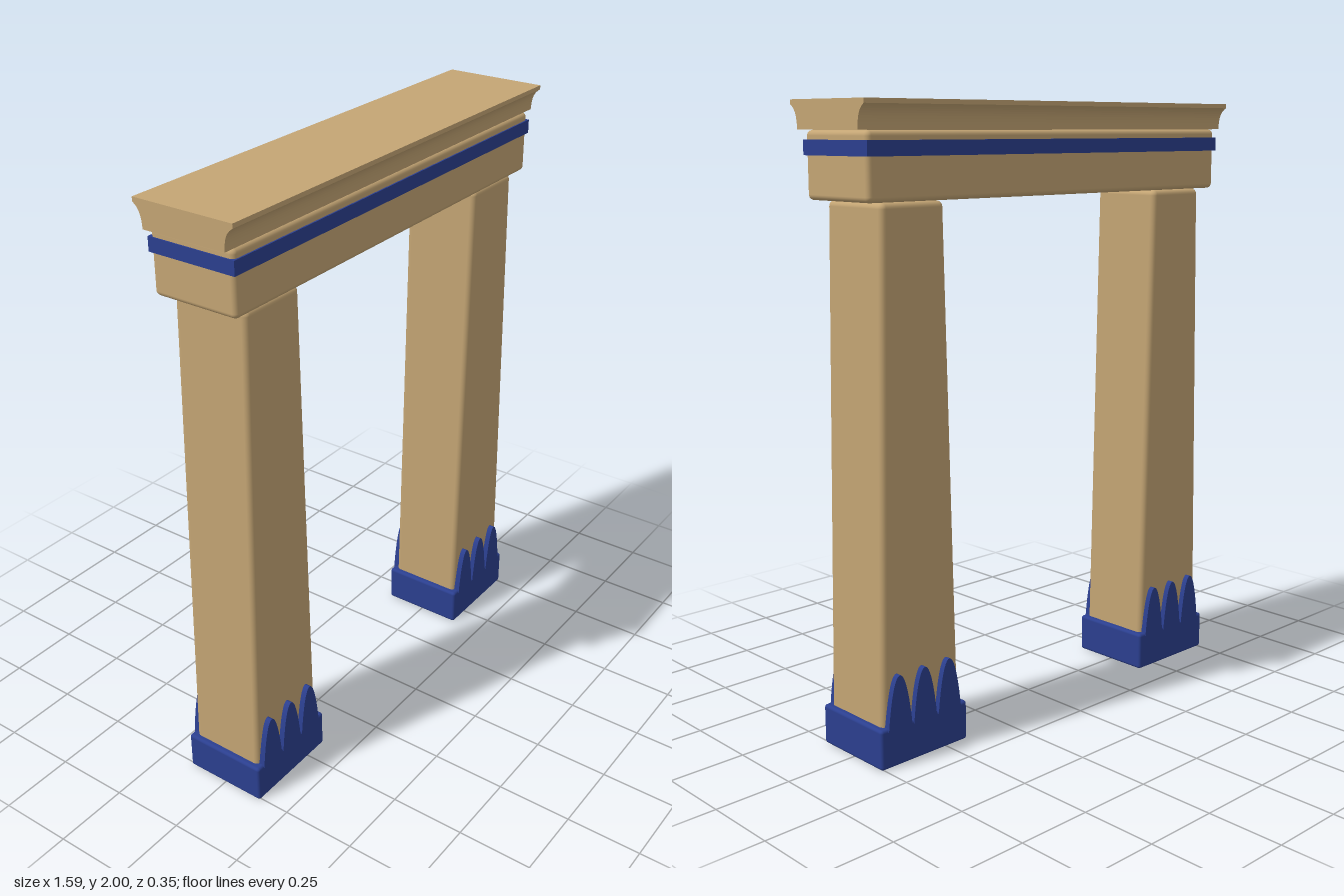
import * as THREE from 'three';
import { RoundedBoxGeometry } from 'three/addons/geometries/RoundedBoxGeometry.js';

export function createModel() {
  const group = new THREE.Group();
  group.name = 'gateway';
  const stone = new THREE.MeshStandardMaterial({ color: 0xc4a574 });
  stone.name = 'sandstone';
  const blue = new THREE.MeshStandardMaterial({ color: 0x2b3f8f });
  blue.name = 'lapis blue';

  function add(parent, name, geometry, material, x = 0, y = 0, z = 0) {
    const mesh = new THREE.Mesh(geometry, material);
    mesh.name = name;
    mesh.position.set(x, y, z);
    parent.add(mesh);
    return mesh;
  }

  // Tapered pillar shaft: a rounded box narrowed in x towards the top
  const y0 = 0.01, y1 = 1.71;
  const shaft = new RoundedBoxGeometry(1, y1 - y0, 0.26, 3, 0.018);
  const pos = shaft.attributes.position;
  for (let i = 0; i < pos.count; i++) {
    const t = pos.getY(i) / (y1 - y0) + 0.5;
    const half = THREE.MathUtils.lerp(0.157, 0.118, t);
    // keep the rounded edge its own width, move only the flat part
    const x = pos.getX(i);
    pos.setX(i, x - Math.sign(x) * (0.5 - half));
  }

  // Pointed leaf relief
  const leaf = new THREE.Shape();
  leaf.moveTo(-0.046, 0.12);
  leaf.bezierCurveTo(-0.036, 0.22, -0.02, 0.292, 0, 0.292);
  leaf.bezierCurveTo(0.02, 0.292, 0.036, 0.22, 0.046, 0.12);
  leaf.closePath();
  const leafGeo = new THREE.ExtrudeGeometry(leaf, { depth: 0.022, bevelEnabled: false, curveSegments: 12 });

  const plinth = new RoundedBoxGeometry(0.345, 0.13, 0.294, 3, 0.01);

  for (const side of [-1, 1]) {
    const pillar = new THREE.Group();
    pillar.name = side > 0 ? 'leftPillar' : 'rightPillar';
    pillar.position.x = side * 0.588;
    group.add(pillar);
    add(pillar, 'shaft', shaft, stone, 0, (y0 + y1) / 2);
    add(pillar, 'plinth', plinth, blue, 0, 0.065);
    for (const x of [-0.099, 0, 0.099]) {
      add(pillar, 'frontLeaf', leafGeo, blue, x, 0, 0.127);
      add(pillar, 'backLeaf', leafGeo, blue, x, 0, -0.149);
    }
  }

  // Lintel with its painted band
  add(group, 'lintel', new RoundedBoxGeometry(1.53, 0.202, 0.294, 3, 0.016), stone, 0, 1.812);
  add(group, 'band', new THREE.BoxGeometry(1.538, 0.045, 0.304), blue, 0, 1.863);

  // Flared cornice, swept along x
  const cornice = new THREE.Shape();
  cornice.moveTo(-0.143, 1.914);
  cornice.lineTo(0.143, 1.914);
  cornice.bezierCurveTo(0.145, 1.955, 0.152, 1.972, 0.174, 1.986);
  cornice.lineTo(0.174, 2);
  cornice.lineTo(-0.174, 2);
  cornice.lineTo(-0.174, 1.986);
  cornice.bezierCurveTo(-0.152, 1.972, -0.145, 1.955, -0.143, 1.914);
  const corniceGeo = new THREE.ExtrudeGeometry(cornice, { depth: 1.588, bevelEnabled: false, curveSegments: 10 });
  corniceGeo.translate(0, 0, -0.794).rotateY(Math.PI / 2);
  add(group, 'cornice', corniceGeo, stone);
  // Narrow neck between lintel and cornice
  add(group, 'corniceNeck', new THREE.BoxGeometry(1.5, 0.02, 0.26), stone, 0, 1.91);

  return group;
}
